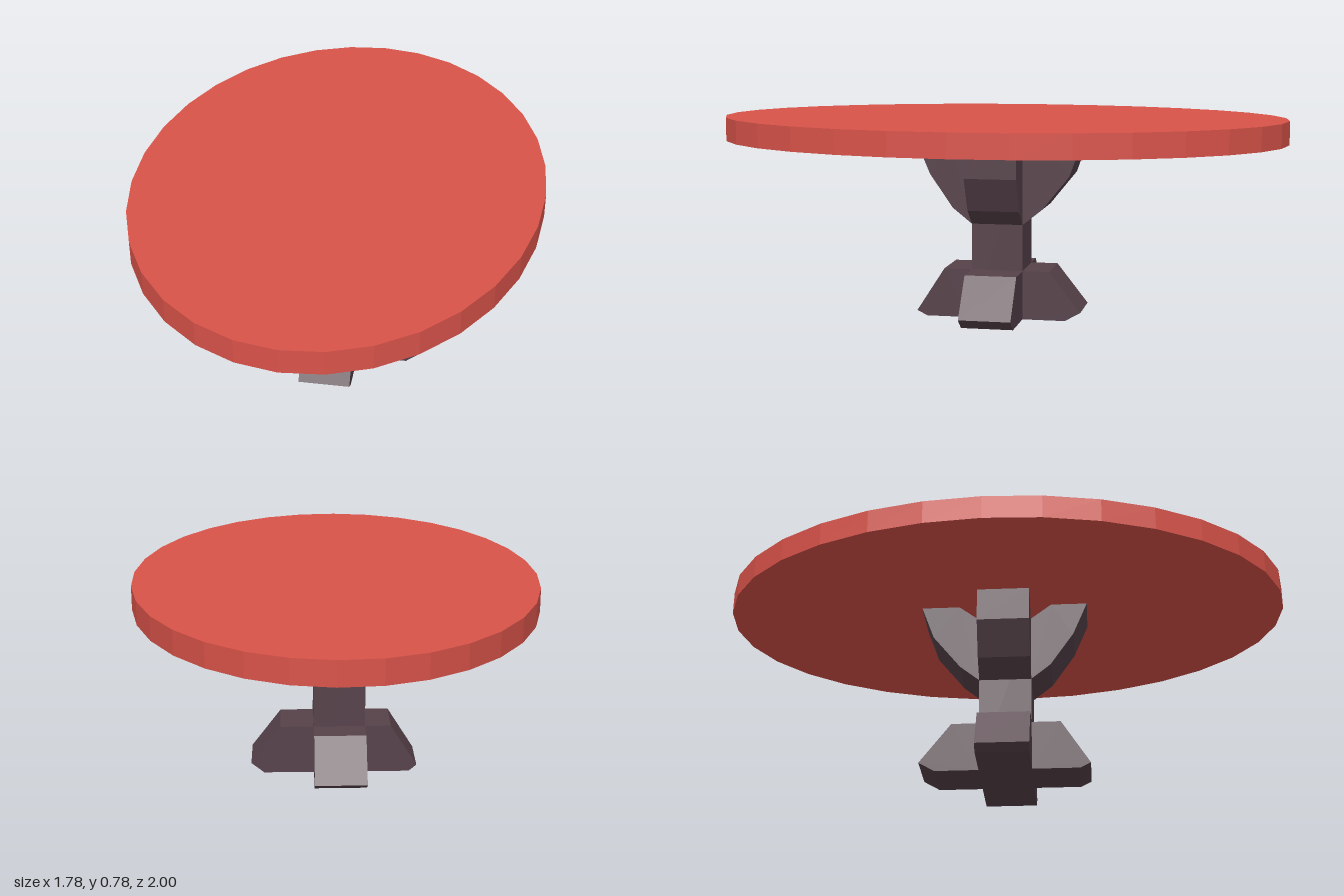
import * as THREE from 'three';

const rad = THREE.MathUtils.degToRad;
const WIDTH = 0.2; // width of the post, feet and arms

// Flat bracket: a radial profile [r, y] extruded to the common width
function bracket(points, material, name, quarter) {
  const shape = new THREE.Shape(points.map(([r, y]) => new THREE.Vector2(r, y)));
  const geometry = new THREE.ExtrudeGeometry(shape, { depth: WIDTH, bevelEnabled: false });
  geometry.translate(0, 0, -WIDTH / 2);
  const mesh = new THREE.Mesh(geometry, material);
  mesh.name = name;
  mesh.rotation.y = -quarter * Math.PI / 2;
  return mesh;
}

export function createModel() {
  const model = new THREE.Group();
  model.name = 'table';
  const red = new THREE.MeshStandardMaterial({ color: 0xd9534a, flatShading: true });
  const dark = new THREE.MeshStandardMaterial({ color: 0x56424a, flatShading: true });

  // Everything is turned to the long axis of the oval top
  const axis = rad(-55);

  // Oval tabletop
  const topGeometry = new THREE.CylinderGeometry(1, 1, 0.09, 32);
  topGeometry.rotateY(rad(-2));
  topGeometry.scale(1.095, 1, 0.77);
  const top = new THREE.Mesh(topGeometry, red);
  top.name = 'tabletop';
  top.position.y = 0.735;
  top.rotation.y = axis;
  model.add(top);

  // Pedestal, slightly off centre
  const pedestal = new THREE.Group();
  pedestal.name = 'pedestal';
  pedestal.position.set(-0.01, 0, 0.01);
  pedestal.rotation.y = axis;
  model.add(pedestal);

  // Square post
  const post = new THREE.Mesh(new THREE.BoxGeometry(WIDTH, 0.63, WIDTH), dark);
  post.name = 'post';
  post.position.y = 0.315;
  pedestal.add(post);

  // Feet: reach at the top, tip and bottom, and height of the tip
  const feet = [
    [0.21, 0.32, 0.28, 0.02],
    [0.2, 0.303, 0.272, 0.025],
    [0.205, 0.327, 0.266, 0.035],
    [0.23, 0.345, 0.295, 0.04],
  ];
  feet.forEach(([rTop, rTip, rBottom, yTip], i) => {
    pedestal.add(bracket(
      [[0.1, 0], [rBottom, 0], [rTip, yTip], [rTop, 0.19], [0.1, 0.19]], dark, 'foot', i));
  });

  // Arms: reach at the lower bend, upper bend and tabletop
  const arms = [
    [0.175, 0.265, 0.32],
    [0.175, 0.24, 0.24],
    [0.175, 0.28, 0.327],
    [0.175, 0.24, 0.24],
  ];
  arms.forEach(([rLow, rHigh, rTop], i) => {
    pedestal.add(bracket(
      [[0.1, 0.37], [rLow, 0.43], [rHigh, 0.56], [rTop, 0.69], [0.18, 0.69], [0.1, 0.63]],
      dark, 'arm', i));
  });

  return model;
}
